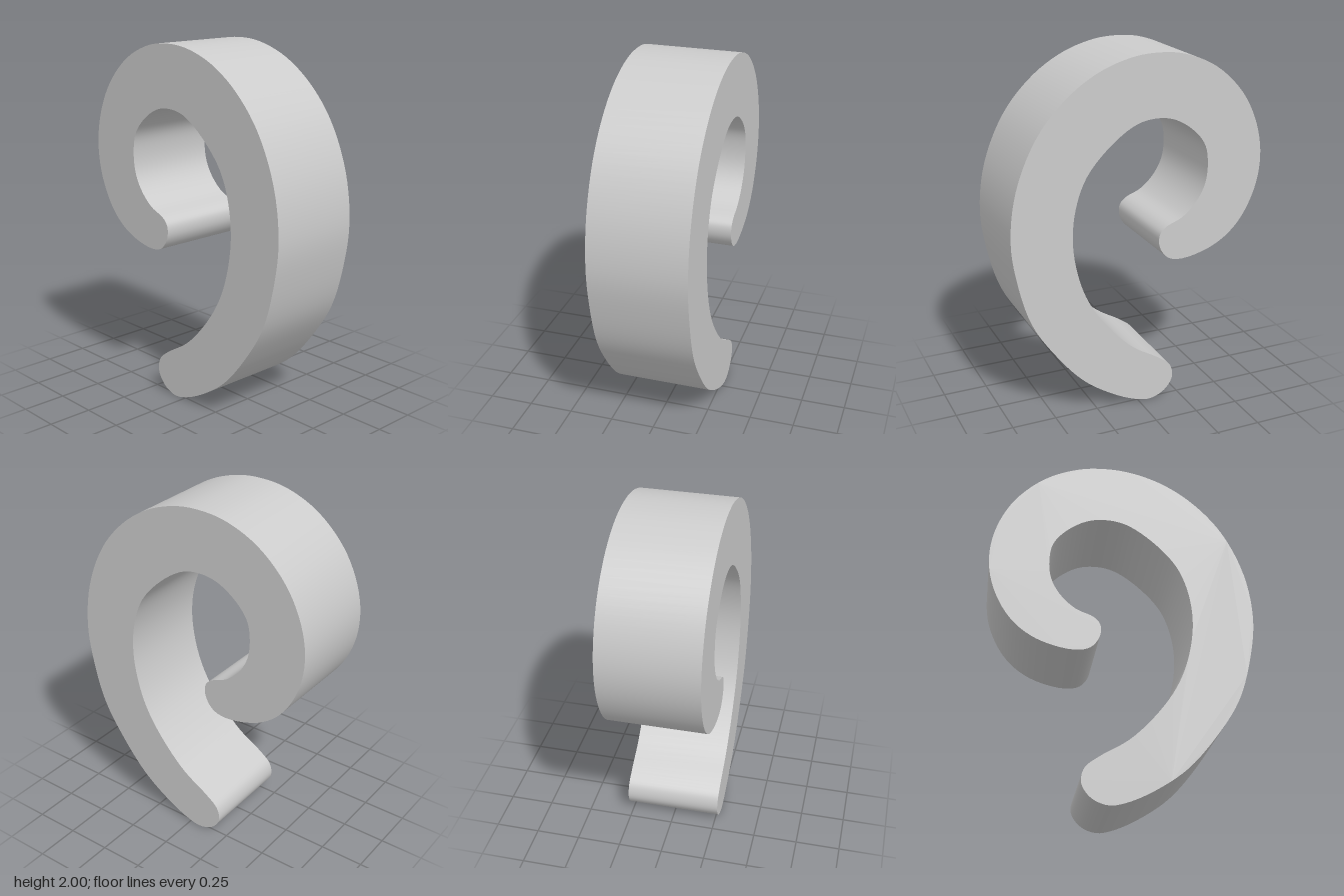
import * as THREE from 'three';
import { toCreasedNormals } from 'three/addons/utils/BufferGeometryUtils.js';

const DEPTH = 0.54;

// Outer edge of the hook, from the foot round to the curled tip
const outerEdge = [
  [-0.07, 0], [0.035, 0.022], [0.19, 0.1], [0.34, 0.21], [0.49, 0.385], [0.625, 0.6],
  [0.7, 0.855], [0.728, 1.09], [0.69, 1.36], [0.575, 1.62], [0.42, 1.8], [0.245, 1.92],
  [0.06, 1.985], [-0.09, 2], [-0.25, 1.982], [-0.44, 1.9], [-0.605, 1.745], [-0.7, 1.56],
  [-0.732, 1.37], [-0.7, 1.18], [-0.6, 1.0], [-0.46, 0.892], [-0.26, 0.84],
];
// Rounded tip of the curl
const tip = [[-0.17, 0.86], [-0.12, 0.93], [-0.12, 1.0], [-0.155, 1.04]];
// Inner edge, from the tip back down to the foot
const innerEdge = [
  [-0.255, 1.085], [-0.34, 1.165], [-0.39, 1.26], [-0.403, 1.37], [-0.385, 1.475],
  [-0.32, 1.56], [-0.205, 1.635], [-0.1, 1.655], [0.02, 1.635], [0.165, 1.54],
  [0.305, 1.385], [0.37, 1.215], [0.388, 1.025], [0.355, 0.82], [0.29, 0.655],
  [0.175, 0.49], [0.035, 0.35], [-0.125, 0.25],
];
// Rounded end of the foot
const foot = [[-0.195, 0.19], [-0.21, 0.11], [-0.16, 0.035]];

export function createModel() {
  const group = new THREE.Group();
  group.name = 'spiralHook';

  // Closed smooth outline, extruded and centred in depth
  const outline = new THREE.CatmullRomCurve3(
    [...outerEdge, ...tip, ...innerEdge, ...foot].map(([x, y]) => new THREE.Vector3(x, y, 0)),
    true, 'centripetal');
  const points = outline.getPoints(240).slice(0, -1).map((p) => new THREE.Vector2(p.x, p.y));
  const geometry = new THREE.ExtrudeGeometry(new THREE.Shape(points), {
    depth: DEPTH, bevelEnabled: false,
  });
  geometry.translate(0, 0, -DEPTH / 2);

  // Smooth around the curve, sharp at the flat faces
  const hook = new THREE.Mesh(
    toCreasedNormals(geometry, Math.PI / 5),
    new THREE.MeshStandardMaterial({ color: 0xcccccc }));
  hook.name = 'curledHook';
  group.add(hook);
  return group;
}
